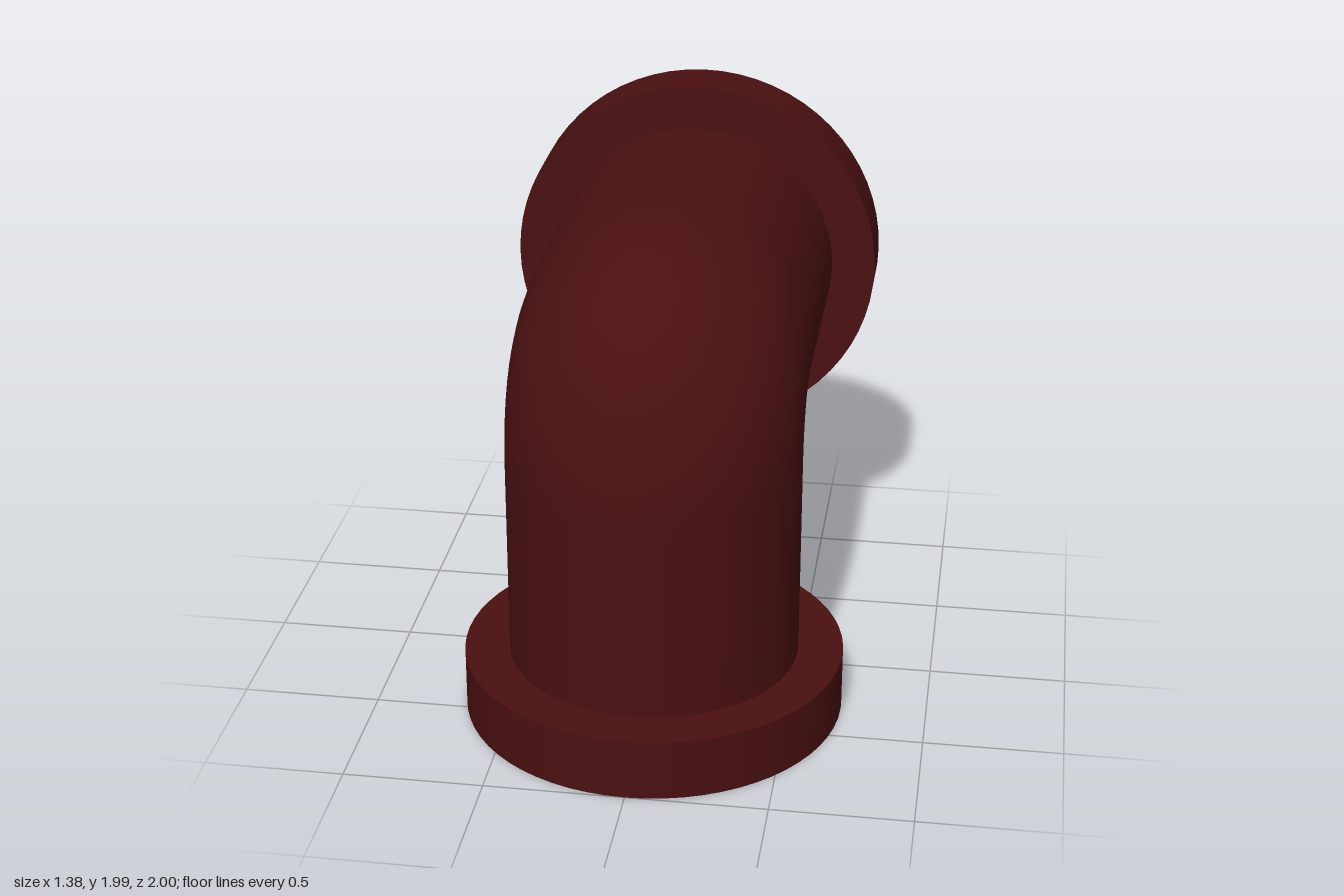
import * as THREE from 'three';

const AXIS_Z = 0.31;      // centre line of the upright leg
const AXIS_Y = 1.3;       // centre line of the level leg
const PIPE_R = 0.527;
const FLANGE_R = 0.69;
const FLANGE_H = 0.225;
const BEND = 0.35;        // distance from the corner where the bend begins

export function createModel() {
  const group = new THREE.Group();
  group.name = 'pipeElbow';
  const material = new THREE.MeshStandardMaterial({ color: 0x4a1010 });

  function add(name, geometry) {
    const mesh = new THREE.Mesh(geometry, material);
    mesh.name = name;
    group.add(mesh);
    return mesh;
  }

  // Pipe: upright leg, tight bend, level leg, with ends buried in the flanges
  const p = (y, z) => new THREE.Vector3(0, y, z);
  const path = new THREE.CurvePath();
  path.add(new THREE.LineCurve3(p(0.1, AXIS_Z), p(AXIS_Y - BEND, AXIS_Z)));
  path.add(new THREE.QuadraticBezierCurve3(
    p(AXIS_Y - BEND, AXIS_Z), p(AXIS_Y, AXIS_Z), p(AXIS_Y, AXIS_Z - BEND)));
  path.add(new THREE.LineCurve3(p(AXIS_Y, AXIS_Z - BEND), p(AXIS_Y, -0.9)));
  add('pipe', new THREE.TubeGeometry(path, 56, PIPE_R, 64, false));

  // Solid disc flanges closing both ends
  const disc = new THREE.CylinderGeometry(FLANGE_R, FLANGE_R, FLANGE_H, 64);
  add('bottomFlange', disc).position.set(0, FLANGE_H / 2, AXIS_Z);
  const back = add('backFlange', disc);
  back.rotation.x = Math.PI / 2;
  back.position.set(0, AXIS_Y, -1 + FLANGE_H / 2);

  return group;
}
